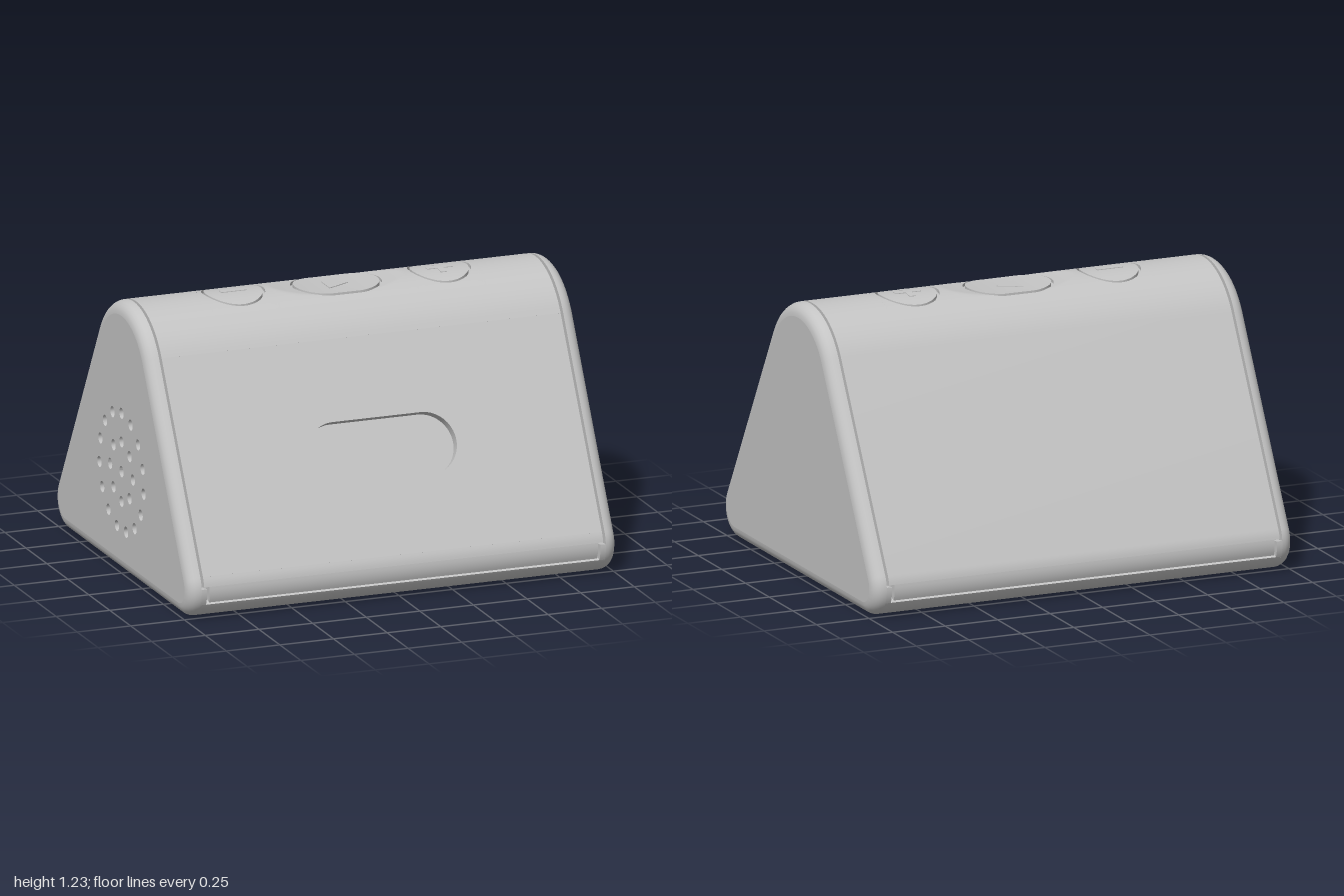
import * as THREE from 'three';
import { toCreasedNormals } from 'three/addons/utils/BufferGeometryUtils.js';

const R = 0.346, TOP = 0.879;     // crown arc radius and centre height
const RB = 0.132, ZB = 0.678;     // lower corner radius and centre offset
const WALL = 0.045;               // shell thickness
const SHELL_X = 0.93, CAP_X = 0.942, FILLET = 0.058;
const rad = THREE.MathUtils.degToRad;

// Point on the rounded triangle as (z, y); c picks the corner: 0 crown, 1 front, -1 back
function corner(c, deg, inset) {
  const r = (c ? RB : R) - inset, a = rad(deg);
  return new THREE.Vector2(c * ZB + r * Math.sin(a), (c ? RB : TOP) + r * Math.cos(a));
}
function arc(c, a, b, inset) {
  const n = Math.max(2, Math.round(Math.abs(b - a) / 5));
  return Array.from({ length: n + 1 }, (_, i) => corner(c, a + (b - a) * i / n, inset));
}
const outline = d => [...arc(0, -60, 60, d), ...arc(1, 60, 180, d), ...arc(-1, 180, 300, d)];

// Height of the crown, with the finger scoop cut across its middle
const crown = (x, z) => Math.min(TOP + Math.sqrt(R * R - z * z), 1.197 + 0.29 * x * x);

// Extrude a (z, y) section along x
function extrudeX(points, x0, x1, holes = []) {
  const flip = list => list.map(p => new THREE.Vector2(-p.x, p.y));
  const shape = new THREE.Shape(flip(points));
  holes.forEach(h => shape.holes.push(new THREE.Path(flip(h))));
  const g = new THREE.ExtrudeGeometry(shape, { depth: x1 - x0, bevelEnabled: false });
  return toCreasedNormals(g.rotateY(Math.PI / 2).translate(x0, 0, 0), 0.4);
}
const band = (chain, x0, x1) => extrudeX([...chain(0), ...chain(WALL).reverse()], x0, x1);

// Skin a series of closed loops
function loft(loops) {
  const n = loops[0].length, pos = loops.flat().flatMap(p => [p.x, p.y, p.z]), idx = [];
  for (let i = 0; i < loops.length - 1; i++)
    for (let j = 0; j < n; j++) {
      const a = i * n + j, b = i * n + (j + 1) % n;
      idx.push(a, b, a + n, b, b + n, a + n);
    }
  const g = new THREE.BufferGeometry();
  g.setAttribute('position', new THREE.Float32BufferAttribute(pos, 3));
  g.setIndex(idx);
  return toCreasedNormals(g, 0.5);
}

// Crown patch holding a button: button face, groove, then surround out to a rectangle
function buttonPatch(cx, straight, r, halfX, raise) {
  const N = 96, halfZ = R * 0.5, loops = [];
  const ring = (k, rr, out, dy) => loops.push(Array.from({ length: N }, (_, i) => {
    const t = i / N * Math.PI * 2, c = Math.cos(t), s = Math.sin(t);
    const m = Math.max(Math.abs(c), Math.abs(s));
    const x = cx + THREE.MathUtils.lerp(k * (Math.sign(c) * straight + rr * c), halfX * c / m, out);
    const z = THREE.MathUtils.lerp(k * rr * s, halfZ * s / m, out);
    return new THREE.Vector3(x, crown(x, z) + dy, z);
  }));
  for (let i = 0; i <= 6; i++) ring(Math.max(i / 6, 0.001), r, 0, raise);
  ring(1, r, 0, -0.015);
  ring(1, r + 0.011, 0, -0.015);
  for (let i = 0; i <= 12; i++) ring(1, r + 0.011, i / 12, 0);
  return loft(loops);
}

// Thin symbol laid over the crown; points are (x, z)
function symbol(points, cx, lift) {
  const shape = new THREE.Shape(points.map(([x, z]) => new THREE.Vector2(x, -z)));
  const g = new THREE.ExtrudeGeometry(shape, { depth: 0.006, bevelEnabled: false });
  g.rotateX(-Math.PI / 2).translate(cx, lift - 0.003, 0);
  const p = g.attributes.position;
  for (let i = 0; i < p.count; i++) p.setY(i, p.getY(i) + crown(p.getX(i), p.getZ(i)));
  g.computeVertexNormals();
  return g;
}

const circle = (u, v, r) => new THREE.Path().absarc(u, v, r, 0, Math.PI * 2, true);
function rectangle(hx, hy) {
  return new THREE.Shape([[-hx, -hy], [hx, -hy], [hx, hy], [-hx, hy]].map(p => new THREE.Vector2(...p)));
}

export function createModel() {
  const model = new THREE.Group();
  model.name = 'wedgeSpeaker';
  const grey = new THREE.MeshStandardMaterial({ color: 0xc4c4c4 });
  grey.name = 'lightGrey';
  const add = (name, geometry, parent = model) => {
    const mesh = new THREE.Mesh(geometry, grey);
    mesh.name = name;
    parent.add(mesh);
    return mesh;
  };

  // Inner body seen at the bottom of grooves and recesses
  add('core', extrudeX(outline(WALL), -0.936, 0.936));

  // Wrapped shell
  add('shellCrownFront', band(d => arc(0, 30, 60, d), -SHELL_X, SHELL_X));
  add('shellBack', band(d => [...arc(-1, 280, 300, d), ...arc(0, -60, -30, d)], -SHELL_X, SHELL_X));
  add('shellFrontCurve', band(d => arc(1, 60, 80, d), -SHELL_X, SHELL_X));
  add('shellFrontLip', band(d => arc(1, 80, 112, d), -0.905, 0.905));
  add('shellBackLip', band(d => arc(-1, 248, 280, d), -0.905, 0.905));
  for (const s of [-1, 1]) {
    const xs = [s * 0.635, s * SHELL_X].sort((a, b) => a - b);
    add('shellCrownEnd', band(d => arc(0, -30, 30, d), ...xs));
  }

  // Front panel with pill-shaped recess
  const a = corner(0, 60, 0), b = corner(1, 60, 0);
  const panel = rectangle(SHELL_X, a.distanceTo(b) / 2);
  const pill = new THREE.Path();
  pill.absarc(0.205, -0.014, 0.14, -Math.PI / 2, Math.PI / 2);
  pill.absarc(-0.205, -0.014, 0.14, Math.PI / 2, Math.PI * 1.5);
  pill.closePath();
  panel.holes.push(pill);
  const panelGeo = new THREE.ExtrudeGeometry(panel, { depth: WALL, bevelEnabled: false, curveSegments: 20 });
  panelGeo.translate(0, 0, -WALL).rotateX(-Math.PI / 6).translate(0, (a.y + b.y) / 2, (a.x + b.x) / 2);
  add('frontPanel', toCreasedNormals(panelGeo, 0.4));

  // Buttons and their symbols
  add('minusButton', buttonPatch(-0.48, 0, 0.129, 0.155, 0));
  add('playButton', buttonPatch(0, 0.065, 0.128, 0.325, 0.004));
  add('plusButton', buttonPatch(0.48, 0, 0.129, 0.155, 0));
  const w = 0.015, l = 0.06;
  add('minusSymbol', symbol([[-l, -w], [l, -w], [l, w], [-l, w]], -0.48, 0));
  add('plusSymbol', symbol([[-l, -w], [-w, -w], [-w, -l], [w, -l], [w, -w], [l, -w],
    [l, w], [w, w], [w, l], [-w, l], [-w, w], [-l, w]], 0.48, 0));
  add('playSymbol', symbol([[-0.05, -0.052], [0.055, 0], [-0.05, 0.052]], 0, 0.004));

  // Base: rounded long edges, corner tabs and a bottom plate with screw holes
  const base = new THREE.Group();
  base.name = 'base';
  model.add(base);
  add('baseFrontEdge', band(d => arc(1, 117, 180, d), -CAP_X, CAP_X), base);
  add('baseBackEdge', band(d => arc(-1, 180, 243, d), -CAP_X, CAP_X), base);
  for (const [x0, x1] of [[-CAP_X, -0.917], [0.917, CAP_X]]) {
    add('frontTab', band(d => arc(1, 84, 117, d), x0, x1), base);
    add('backTab', band(d => arc(-1, 243, 276, d), x0, x1), base);
  }
  const plate = rectangle(CAP_X, ZB);
  for (const x of [-0.9, 0.9])
    for (const z of [-0.63, 0.63]) plate.holes.push(circle(x, z, 0.019));
  const plateGeo = new THREE.ExtrudeGeometry(plate, { depth: WALL, bevelEnabled: false });
  add('bottomPlate', toCreasedNormals(plateGeo.rotateX(-Math.PI / 2), 0.4), base);

  // End caps with filleted rims
  const loopAt = (x, d) => outline(d).map(p => new THREE.Vector3(x, p.y, p.x));
  const rim = [loopAt(CAP_X, 0.06), loopAt(CAP_X, 0)];
  for (let i = 1; i <= 6; i++) {
    const t = i / 6 * Math.PI / 2;
    rim.push(loopAt(CAP_X + FILLET * Math.sin(t), FILLET * (1 - Math.cos(t))));
  }
  const rimGeo = loft(rim);
  add('leftCapRim', rimGeo);
  add('rightCapRim', rimGeo).rotation.y = Math.PI;
  add('leftCapFace', extrudeX(outline(FILLET), 0.936, 1));

  // Speaker grille: rings of holes through the right cap
  const holes = [];
  for (const [count, radius] of [[1, 0], [8, 0.135], [15, 0.265]])
    for (let i = 0; i < count; i++) {
      const t = i / count * Math.PI * 2;
      holes.push(circle(radius * Math.sin(t), 0.46 + radius * Math.cos(t), 0.025).getPoints(8).slice(0, -1));
    }
  add('rightCapGrille', extrudeX(outline(FILLET), -1, -0.936, holes));

  return model;
}
